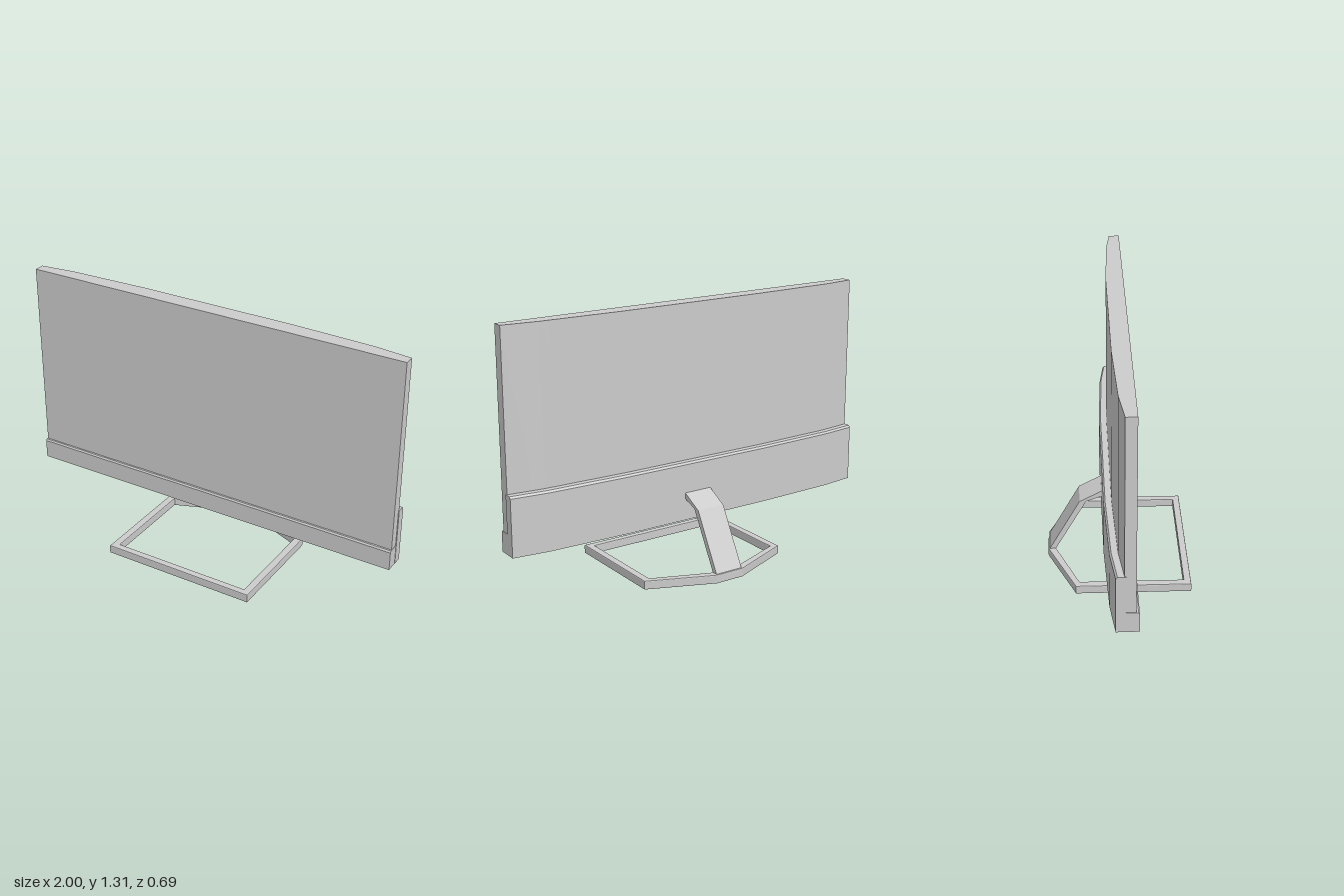
import * as THREE from 'three';
import { toCreasedNormals } from 'three/addons/utils/BufferGeometryUtils.js';

const material = new THREE.MeshStandardMaterial({ color: 0xcccccc });
const toShape = (pts) => new THREE.Shape(pts.map(([x, y]) => new THREE.Vector2(x, y)));

function addPart(group, name, geometry) {
  const mesh = new THREE.Mesh(toCreasedNormals(geometry, 0.35), material);
  mesh.name = name;
  group.add(mesh);
  return mesh;
}

// Extrudes a [z, y] profile sideways between x0 and x1
function sideProfile(pts, x0, x1) {
  const g = new THREE.ExtrudeGeometry(toShape(pts), { depth: x1 - x0, bevelEnabled: false });
  return g.rotateY(-Math.PI / 2).translate(x1, 0, 0);
}

// Upright slab with a flat front and a gently bowed back
function bowedSlab(halfWidth, front, backShift, y0, y1, chamfer = 0) {
  const half = [[1, -0.007], [0.82, -0.028], [0.4, -0.042]];
  const back = [...half, ...half.map(([x, z]) => [-x, z]).reverse()]
    .map(([x, z]) => [x * halfWidth, -(z + backShift)]);
  const outline = [[-halfWidth, -front], [halfWidth, -front], ...back];
  const steps = chamfer ? Math.round((y1 - y0) / chamfer) : 1;
  const g = new THREE.ExtrudeGeometry(toShape(outline), { depth: y1 - y0, steps, bevelEnabled: false });
  g.rotateX(-Math.PI / 2).translate(0, y0, 0);
  // Pull the top back edge in to make the chamfer
  const p = g.attributes.position;
  for (let i = 0; chamfer && i < p.count; i++) {
    if (p.getY(i) > y1 - 0.001 && p.getZ(i) < front - 0.02) p.setZ(i, p.getZ(i) + chamfer * 0.8);
  }
  return g;
}

export function createModel() {
  const model = new THREE.Group();
  model.name = 'monitor';

  // Display
  addPart(model, 'screenPanel', bowedSlab(0.996, 0.045, 0, 0.24, 1.305));
  addPart(model, 'rearHousing', bowedSlab(1, 0, -0.038, 0.24, 0.533, 0.01));
  addPart(model, 'frontChin', sideProfile(
    [[-0.02, 0.239], [0.06, 0.239], [0.06, 0.334], [0.054, 0.342], [-0.02, 0.342]], -0.998, 0.998));

  // Stand, set very slightly to one side
  const cx = 0.006;
  const stand = new THREE.Group();
  stand.name = 'stand';
  stand.position.x = cx;
  model.add(stand);

  // Bent neck reaching from the housing down to the back of the base
  addPart(stand, 'neck', sideProfile([
    [-0.06, 0.39], [-0.06, 0.357], [-0.08, 0.35], [-0.157, 0.322], [-0.315, 0.04],
    [-0.345, 0.04], [-0.19, 0.321], [-0.08, 0.38],
  ], -0.074, 0.074));

  // Six-sided open base ring with softly bevelled edges
  const bevel = 0.005;
  const ring = (w, front, side, tipW, tip) =>
    [[-w, -front], [w, -front], [w, -side], [tipW, -tip], [-tipW, -tip], [-w, -side]];
  const base = toShape(ring(0.4 - bevel, 0.345 - bevel, -0.217 + bevel, 0.074, -0.35 + bevel));
  base.holes.push(toShape(ring(0.362 + bevel, 0.31 + bevel, -0.195 - bevel, 0.064, -0.314 - bevel)));
  const baseGeometry = new THREE.ExtrudeGeometry(base, {
    depth: 0.045 - 2 * bevel, bevelSize: bevel, bevelThickness: bevel, bevelSegments: 2,
  });
  addPart(stand, 'baseRing', baseGeometry.rotateX(-Math.PI / 2).translate(0, bevel, 0));

  return model;
}
